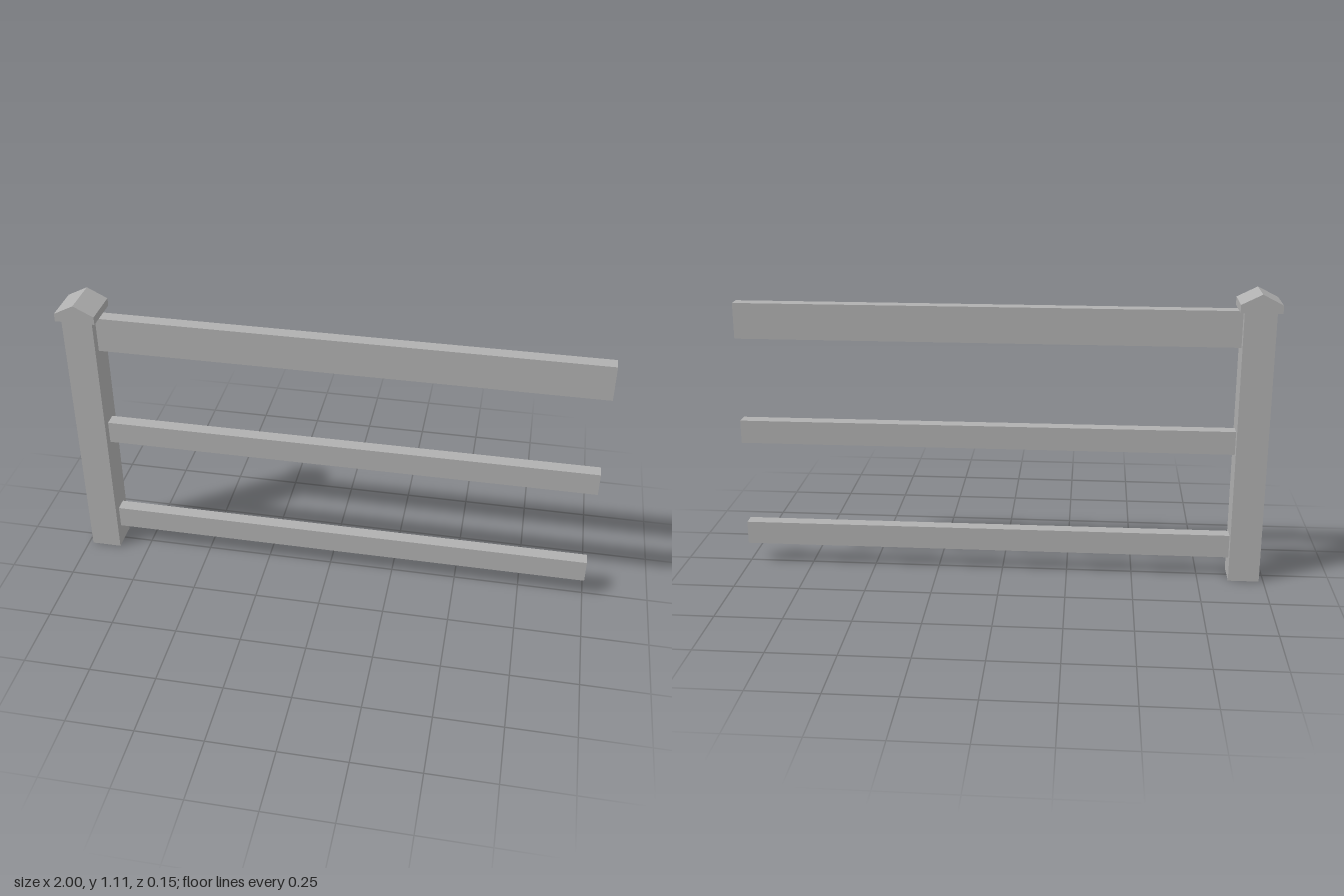
import * as THREE from 'three';

const POST_X = -0.925;
const POST_HALF = 0.058;
const POST_HEIGHT = 1.044;

export function createModel() {
  const group = new THREE.Group();
  group.name = 'fenceSection';
  const paint = new THREE.MeshStandardMaterial({ color: 0xb0b0b0, side: THREE.DoubleSide });
  paint.name = 'greyPaint';

  const add = (name, geometry, x, y, z) => {
    const mesh = new THREE.Mesh(geometry, paint);
    mesh.name = name;
    mesh.position.set(x, y, z);
    group.add(mesh);
  };

  // Hollow square post, open at the foot
  const post = new THREE.CylinderGeometry(
    POST_HALF * Math.SQRT2, POST_HALF * Math.SQRT2, POST_HEIGHT, 4, 1, true
  ).rotateY(Math.PI / 4).toNonIndexed();
  post.computeVertexNormals();
  add('post', post, POST_X, POST_HEIGHT / 2, 0);

  // Gabled cap with its ridge running front to back
  const half = 0.075;
  const gable = new THREE.Shape([
    new THREE.Vector2(-half, 0),
    new THREE.Vector2(half, 0),
    new THREE.Vector2(half, 0.03),
    new THREE.Vector2(0, 0.068),
    new THREE.Vector2(-half, 0.03),
  ]);
  const cap = new THREE.ExtrudeGeometry(gable, { depth: half * 2, bevelEnabled: false });
  add('postCap', cap, POST_X, POST_HEIGHT, -half);

  // Three rails running from the post to the open end
  const start = POST_X + POST_HALF;
  const rails = [
    ['topRail', 0.906, 1.041],
    ['middleRail', 0.497, 0.586],
    ['bottomRail', 0.082, 0.171],
  ];
  for (const [name, low, high] of rails) {
    const rail = new THREE.BoxGeometry(1 - start, high - low, 0.05);
    add(name, rail, (1 + start) / 2, (low + high) / 2, 0);
  }
  return group;
}
